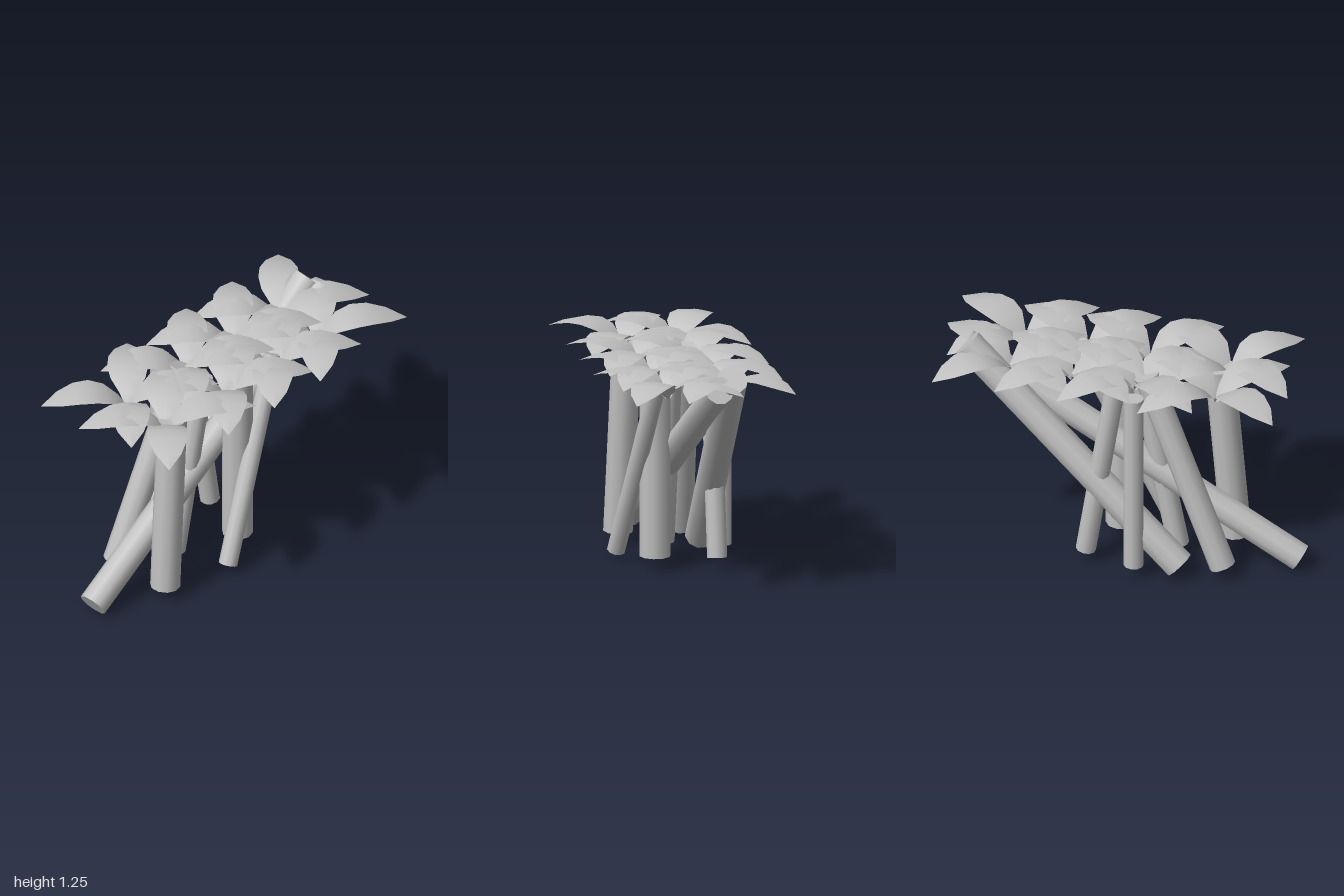
import * as THREE from 'three';

const matte = new THREE.MeshStandardMaterial({ color: 0xc0c0c0, side: THREE.DoubleSide });
matte.name = 'plain grey';

// Trunk: a straight smooth cylinder between two points
function trunk(a, b, radius) {
  const from = new THREE.Vector3(...a), to = new THREE.Vector3(...b);
  const dir = to.clone().sub(from);
  const mesh = new THREE.Mesh(new THREE.CylinderGeometry(radius, radius, dir.length(), 10), matte);
  mesh.position.copy(from).add(to).multiplyScalar(0.5);
  mesh.quaternion.setFromUnitVectors(new THREE.Vector3(0, 1, 0), dir.normalize());
  mesh.name = 'trunk';
  return mesh;
}

// Leaf: cross-sections along the arch as [part of length, height, half width]
const SECTIONS = [
  [0, 0, 0.012], [0.1, 0.065, 0.045], [0.25, 0.115, 0.092], [0.42, 0.14, 0.108],
  [0.6, 0.138, 0.1], [0.8, 0.112, 0.068], [1, 0.07, 0.002],
];
function leaf(dx, dz) {
  const len = Math.hypot(dx, dz), px = -dz / len, pz = dx / len;
  const pos = [], index = [];
  SECTIONS.forEach(([t, y, w], i) => {
    for (const s of [-1, 0, 1]) {
      pos.push(dx * t + px * w * s, y - Math.abs(s) * w * 0.12, dz * t + pz * w * s);
    }
    if (i === 0) return;
    for (const c of [0, 1]) {
      const a = (i - 1) * 3 + c, b = a + 1, d = a + 3, e = a + 4;
      index.push(a, b, d, b, e, d);
    }
  });
  const geo = new THREE.BufferGeometry();
  geo.setAttribute('position', new THREE.Float32BufferAttribute(pos, 3));
  geo.setIndex(index);
  geo.computeVertexNormals();
  const mesh = new THREE.Mesh(geo, matte);
  mesh.name = 'leaf';
  return mesh;
}

export function createModel() {
  const model = new THREE.Group();

  // Leaning and crossing trunks
  const trunks = new THREE.Group();
  trunks.name = 'trunks';
  [
    [[-0.565, 0.075, 0.16], [-0.485, 1.1, 0.13], 0.08],
    [[-0.59, 0.075, -0.18], [-0.16, 1.14, -0.12], 0.07],
    [[-0.305, 0.075, -0.03], [-0.1, 1.09, -0.03], 0.058],
    [[0.04, 0.08, 0.09], [0.04, 1.105, 0.09], 0.083],
    [[0.145, 0.08, -0.22], [-0.015, 1.1, -0.22], 0.054],
    [[-0.14, 0.08, -0.305], [-0.14, 1.105, -0.305], 0.053],
    [[-0.957, 0.072, 0.015], [0.84, 1.155, -0.085], 0.077],
    [[-0.37, 0.078, -0.24], [0.81, 1.2, -0.16], 0.083],
    [[-0.19, 0.065, 0.25], [0.28, 1.12, 0.115], 0.05],
  ].forEach(([a, b, r]) => trunks.add(trunk(a, b, r)));
  model.add(trunks);

  // Canopy: two rows of four-leaved crowns
  const canopy = new THREE.Group();
  canopy.name = 'canopy';
  for (const x of [-0.54, -0.1, 0.24, 0.58]) {
    for (const z of [-0.14, 0.14]) {
      const crown = new THREE.Group();
      crown.name = 'leafCrown';
      for (const [dx, dz] of [[-0.385, -0.26], [0.33, -0.34], [0.415, 0.25], [-0.31, 0.335]]) {
        crown.add(leaf(dx, dz));
      }
      crown.position.set(x, 1.06, z);
      canopy.add(crown);
    }
  }
  model.add(canopy);
  return model;
}
